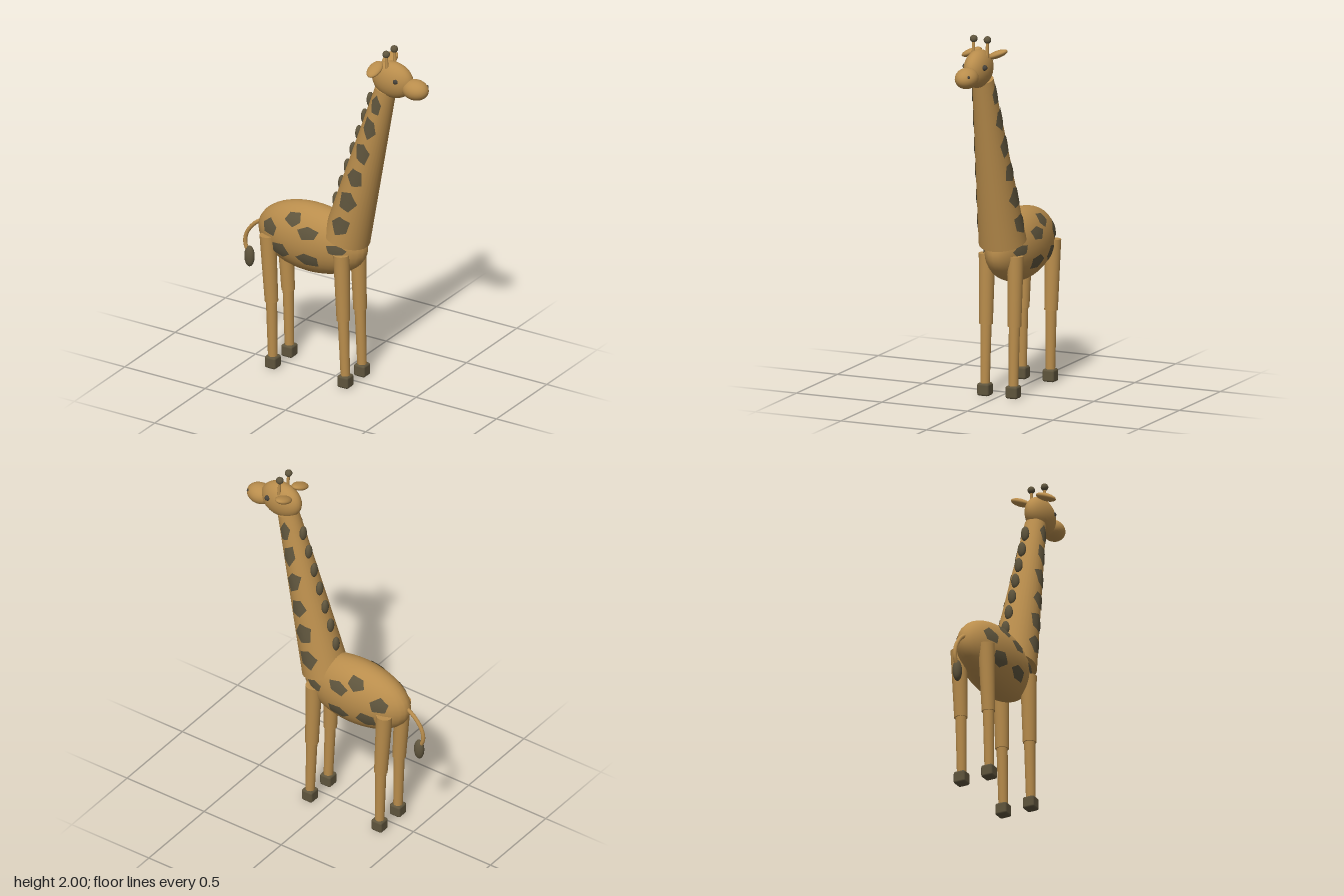
import * as THREE from 'three';
import { RoundedBoxGeometry } from 'three/addons/geometries/RoundedBoxGeometry.js';

const V = (x, y, z = 0) => new THREE.Vector3(x, y, z);
const BODY = { c: V(-0.14, 0.78), r: V(0.332, 0.195, 0.134) };
const NECK = { a: V(0.07, 0.833), b: V(0.312, 1.758), ra: 0.127, rb: 0.057 };

// Half depth of the body and of the neck at a point of the side plane
function bodyDepth(x, y) {
  const u = (x - BODY.c.x) / BODY.r.x, v = (y - BODY.c.y) / BODY.r.y;
  return BODY.r.z * Math.sqrt(Math.max(0.02, 1 - u * u - v * v));
}
function neckDepth(x, y) {
  const axis = NECK.b.clone().sub(NECK.a), len = axis.length();
  axis.normalize();
  const dx = x - NECK.a.x, dy = y - NECK.a.y;
  const r = THREE.MathUtils.lerp(NECK.ra, NECK.rb, (dx * axis.x + dy * axis.y) / len);
  const d = dx * axis.y - dy * axis.x;
  return Math.sqrt(Math.max(0.0001, r * r - d * d));
}

// Irregular five-sided patch laid on a surface
function patchGeometry(x, y, rx, ry, depth, side, seed) {
  const pos = [], index = [], rings = 4, steps = 20;
  const corners = [];
  for (let i = 0; i < 5; i++) {
    const a = (i / 5) * Math.PI * 2 + 0.3 + seed * 0.7;
    const k = 0.97 + 0.13 * Math.sin(seed * 2.3 + i * 2.1);
    corners.push(new THREE.Vector2(Math.cos(a) * k * rx, Math.sin(a) * k * ry));
  }
  for (let j = 0; j <= rings; j++) {
    for (let i = 0; i < steps; i++) {
      const c = Math.floor(i / 4);
      const p = corners[c].clone().lerp(corners[(c + 1) % 5], (i % 4) / 4).multiplyScalar(j / rings);
      const px = x + p.x, py = y + p.y;
      pos.push(px, py, side * (depth(px, py) + 0.004));
      if (j === rings) continue;
      const a = j * steps + i, b = j * steps + (i + 1) % steps;
      if (side > 0) index.push(a, a + steps, b + steps, a, b + steps, b);
      else index.push(a, b + steps, a + steps, a, b, b + steps);
    }
  }
  const g = new THREE.BufferGeometry();
  g.setAttribute('position', new THREE.Float32BufferAttribute(pos, 3));
  g.setIndex(index);
  g.computeVertexNormals();
  return g;
}

export function createModel() {
  const model = new THREE.Group();
  model.name = 'giraffe';
  const tan = new THREE.MeshStandardMaterial({ color: 0xb98d4c });
  tan.name = 'tanCoat';
  const brown = new THREE.MeshStandardMaterial({ color: 0x5f553d, side: THREE.DoubleSide });
  brown.name = 'darkBrown';
  const dark = new THREE.MeshStandardMaterial({ color: 0x46423a });
  dark.name = 'darkEyes';

  const add = (name, geometry, material) => {
    const m = new THREE.Mesh(geometry, material);
    m.name = name;
    model.add(m);
    return m;
  };
  const ball = (name, c, r, material) => {
    const m = add(name, new THREE.SphereGeometry(1, 32, 20), material);
    m.position.copy(c);
    m.scale.copy(r);
    return m;
  };
  // Tapered cylinder from a to b
  const limb = (name, a, b, ra, rb, material) => {
    const dir = b.clone().sub(a);
    const m = add(name, new THREE.CylinderGeometry(rb, ra, dir.length(), 32), material);
    m.position.copy(a).add(b).multiplyScalar(0.5);
    m.quaternion.setFromUnitVectors(V(0, 1, 0), dir.normalize());
    return m;
  };

  // Body, neck and head
  ball('body', BODY.c, BODY.r, tan);
  limb('neck', NECK.a, NECK.b, NECK.ra, NECK.rb, tan);
  ball('head', V(0.358, 1.825, 0.004), V(0.123, 0.102, 0.067), tan);
  ball('snout', V(0.498, 1.8, 0.005), V(0.076, 0.056, 0.06), tan);

  for (const s of [1, -1]) {
    // Face details
    ball('eye', V(0.408, 1.844, s * 0.056), V(0.015, 0.015, 0.015), dark);
    ball('nostril', V(0.55, 1.818, s * 0.031), V(0.008, 0.008, 0.008), dark);
    ball('ear', V(0.29, 1.895, s * 0.075), V(0.038, 0.02, 0.061), tan).rotation.x = 0.4;
    limb('horn', V(0.345, 1.88, s * 0.04), V(0.339, 1.98, s * 0.04), 0.01, 0.007, tan);
    ball('hornTip', V(0.339, 1.98, s * 0.04), V(0.02, 0.02, 0.02), brown);

    // Legs: x at hip, knee and hoof
    for (const [hip, knee, foot] of [[-0.371, -0.348, -0.34], [0.087, 0.099, 0.112]]) {
      const z = s * 0.083;
      limb('upperLeg', V(knee, 0.386, z), V(hip, 0.766, z), 0.036, 0.044, tan);
      limb('lowerLeg', V(foot, 0.05, z), V(knee, 0.4, z), 0.025, 0.03, tan);
      add('hoof', new RoundedBoxGeometry(0.068, 0.068, 0.068, 2, 0.012), brown)
        .position.set(foot, 0.036, z);
    }

    // Coat patches: x, y, half width, half height
    const bodyPatches = [
      [-0.35, 0.825, 0.057, 0.045], [-0.2, 0.908, 0.058, 0.038], [-0.096, 0.856, 0.066, 0.042],
      [-0.275, 0.712, 0.06, 0.05], [-0.1, 0.702, 0.073, 0.046], [0.066, 0.79, 0.058, 0.036],
    ];
    const neckPatches = [
      [0.103, 0.95, 0.058, 0.063], [0.138, 1.092, 0.053, 0.066], [0.177, 1.24, 0.048, 0.064],
      [0.216, 1.39, 0.045, 0.066], [0.256, 1.54, 0.042, 0.063], [0.289, 1.673, 0.035, 0.06],
    ];
    bodyPatches.forEach((p, i) => add('bodyPatch', patchGeometry(...p, bodyDepth, s, i), brown));
    neckPatches.forEach((p, i) => add('neckPatch', patchGeometry(...p, neckDepth, s, i + 2), brown));
  }

  // Mane tufts down the back of the neck
  for (let i = 0; i < 7; i++) {
    const t = i / 6;
    ball('maneTuft', V(-0.002 + 0.213 * t, 1.03 + 0.637 * t, -0.006), V(0.018, 0.043, 0.023), brown);
  }

  // Tail
  const tailPath = new THREE.CatmullRomCurve3([
    V(-0.44, 0.81), V(-0.505, 0.765), V(-0.553, 0.7), V(-0.563, 0.64), V(-0.54, 0.58),
  ]);
  add('tail', new THREE.TubeGeometry(tailPath, 24, 0.011, 12), tan);
  ball('tailTuft', V(-0.537, 0.566), V(0.029, 0.06, 0.024), brown);

  return model;
}
